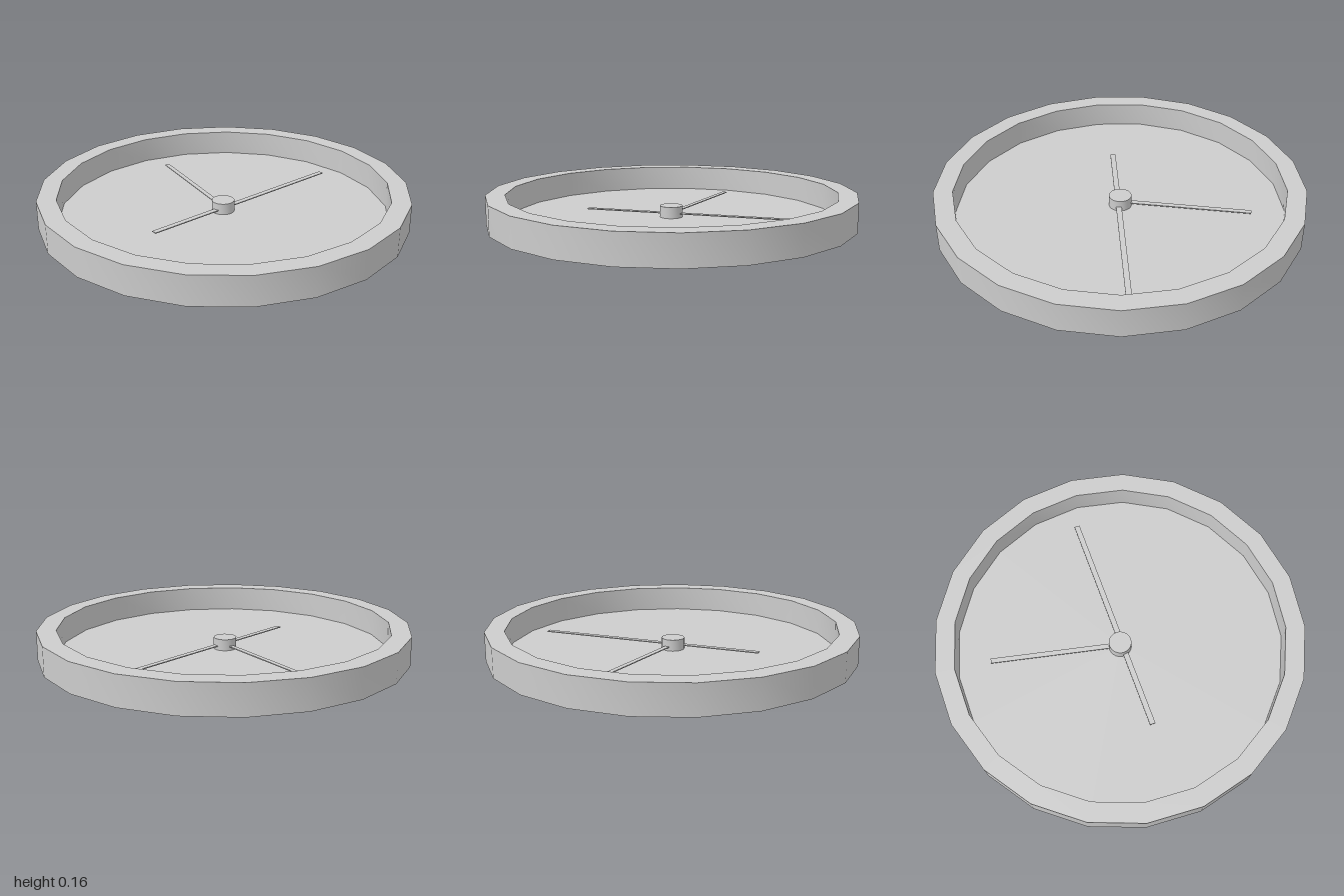
import * as THREE from 'three';
import { toCreasedNormals } from 'three/addons/utils/BufferGeometryUtils.js';

const SIDES = 21, CENTRE = 0.0056;   // odd side count puts the hub slightly off the bounding centre
const R = 1.0028, INNER = 0.8985, HEIGHT = 0.16, FLOOR = 0.02;
const HUB_R = 0.062, HUB_TOP = 0.082, HAND_Y = 0.042, HAND_T = 0.005;

export function createModel() {
  const model = new THREE.Group();
  model.name = 'wallClock';
  const grey = new THREE.MeshStandardMaterial({ color: 0xcccccc });
  grey.name = 'grey';

  const add = (name, geometry, x, y, z, turn = 0) => {
    const mesh = new THREE.Mesh(geometry, grey);
    mesh.name = name;
    mesh.position.set(x, y, z);
    mesh.rotation.y = turn;
    model.add(mesh);
  };

  // Revolved profile with crisp corners, first vertex pointing to -x
  const turned = (profile, sides) => toCreasedNormals(
    new THREE.LatheGeometry(profile.map(p => new THREE.Vector2(...p)), sides, -Math.PI / 2),
    Math.PI / 5);

  // Case: flat back, outer wall, raised rim and inner wall
  add('case', turned([[0, 0], [R, 0], [R, HEIGHT], [INNER, HEIGHT], [INNER, FLOOR]], SIDES), CENTRE, 0, 0);

  // Dial: recessed face
  add('dial', turned([[INNER, FLOOR], [0, FLOOR]], SIDES), CENTRE, 0, 0);

  // Hub at the centre of the dial
  add('hub', turned([[HUB_R, FLOOR], [HUB_R, HUB_TOP], [0, HUB_TOP]], 24), 0, 0, 0);

  // Hands: thin bars floating just above the dial
  add('shortHand', new THREE.BoxGeometry(0.027, HAND_T, 0.715), 0, HAND_Y, -0.3575);
  add('longHand', new THREE.BoxGeometry(1.255, HAND_T, 0.03), 0.145, HAND_Y, -0.0195, 0.212);

  return model;
}
